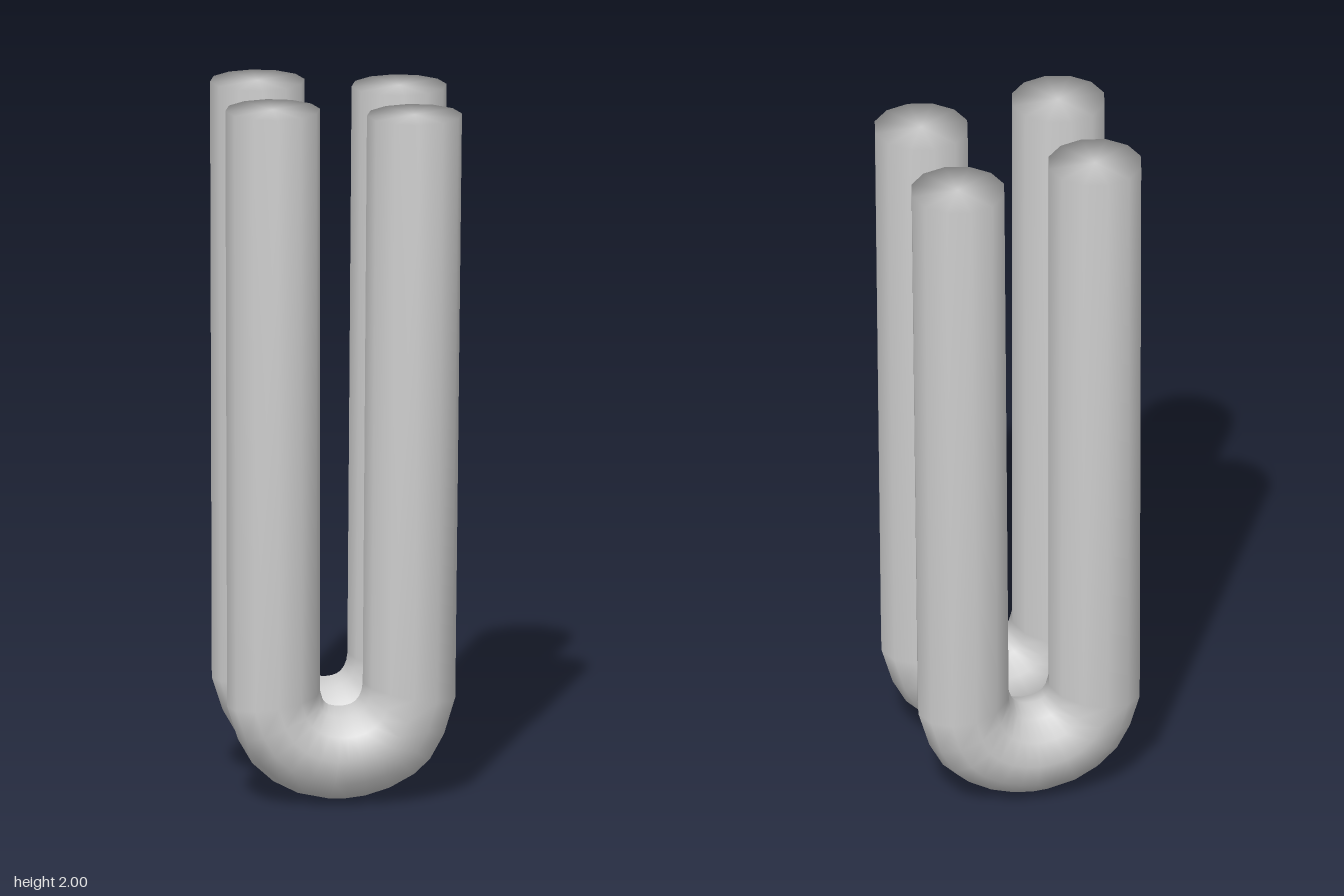
import * as THREE from 'three';

const SIDES = 12;
const RADIUS = 0.135;

// Each station of the bent tube: outer x, y then inner x, y
const STATIONS = [
  [-0.336, 2.0, -0.067, 2.0],
  [-0.331, 0.275, -0.067, 0.315],
  [-0.3, 0.18, -0.06, 0.29],
  [-0.26, 0.11, -0.052, 0.28],
  [-0.2, 0.056, -0.042, 0.274],
  [-0.13, 0.02, -0.028, 0.271],
  [-0.045, 0.002, -0.015, 0.27],
  [0.0, 0.0, -0.002, 0.27],
  [0.06, 0.007, 0.01, 0.272],
  [0.13, 0.028, 0.022, 0.276],
  [0.2, 0.066, 0.034, 0.284],
  [0.245, 0.108, 0.044, 0.297],
  [0.285, 0.18, 0.051, 0.315],
  [0.317, 0.285, 0.054, 0.335],
  [0.336, 1.975, 0.066, 1.975],
];

// Loft twelve-sided rings through the stations and close both ends
function bentTubeGeometry() {
  const positions = [];
  const index = [];
  for (const [ox, oy, ix, iy] of STATIONS) {
    for (let k = 0; k < SIDES; k++) {
      const a = (k / SIDES) * Math.PI * 2;
      const t = (1 + Math.cos(a)) / 2; // 1 on the outside of the bend, 0 inside
      positions.push(ix + (ox - ix) * t, iy + (oy - iy) * t, RADIUS * Math.sin(a));
    }
  }
  const last = STATIONS.length - 1;
  for (let i = 0; i < last; i++) {
    for (let k = 0; k < SIDES; k++) {
      const a = i * SIDES + k;
      const b = i * SIDES + ((k + 1) % SIDES);
      index.push(a, a + SIDES, b, b, a + SIDES, b + SIDES);
    }
  }
  // End caps share the rim vertices, so the shading rolls over the edge
  for (const ring of [0, last]) {
    const [ox, oy, ix, iy] = STATIONS[ring];
    const centre = positions.length / 3;
    positions.push((ox + ix) / 2, (oy + iy) / 2, 0);
    for (let k = 0; k < SIDES; k++) {
      const a = ring * SIDES + k;
      const b = ring * SIDES + ((k + 1) % SIDES);
      if (ring === 0) index.push(centre, a, b);
      else index.push(centre, b, a);
    }
  }
  const geometry = new THREE.BufferGeometry();
  geometry.setAttribute('position', new THREE.Float32BufferAttribute(positions, 3));
  geometry.setIndex(index);
  geometry.computeVertexNormals();
  return geometry;
}

export function createModel() {
  const group = new THREE.Group();
  group.name = 'doubleBentTube';
  const material = new THREE.MeshStandardMaterial({ color: 0xcccccc });
  const geometry = bentTubeGeometry();

  // Two identical tubes, one behind the other
  for (const [name, z] of [['frontTube', 0.185], ['backTube', -0.185]]) {
    const tube = new THREE.Mesh(geometry, material);
    tube.name = name;
    tube.position.z = z;
    group.add(tube);
  }
  return group;
}
